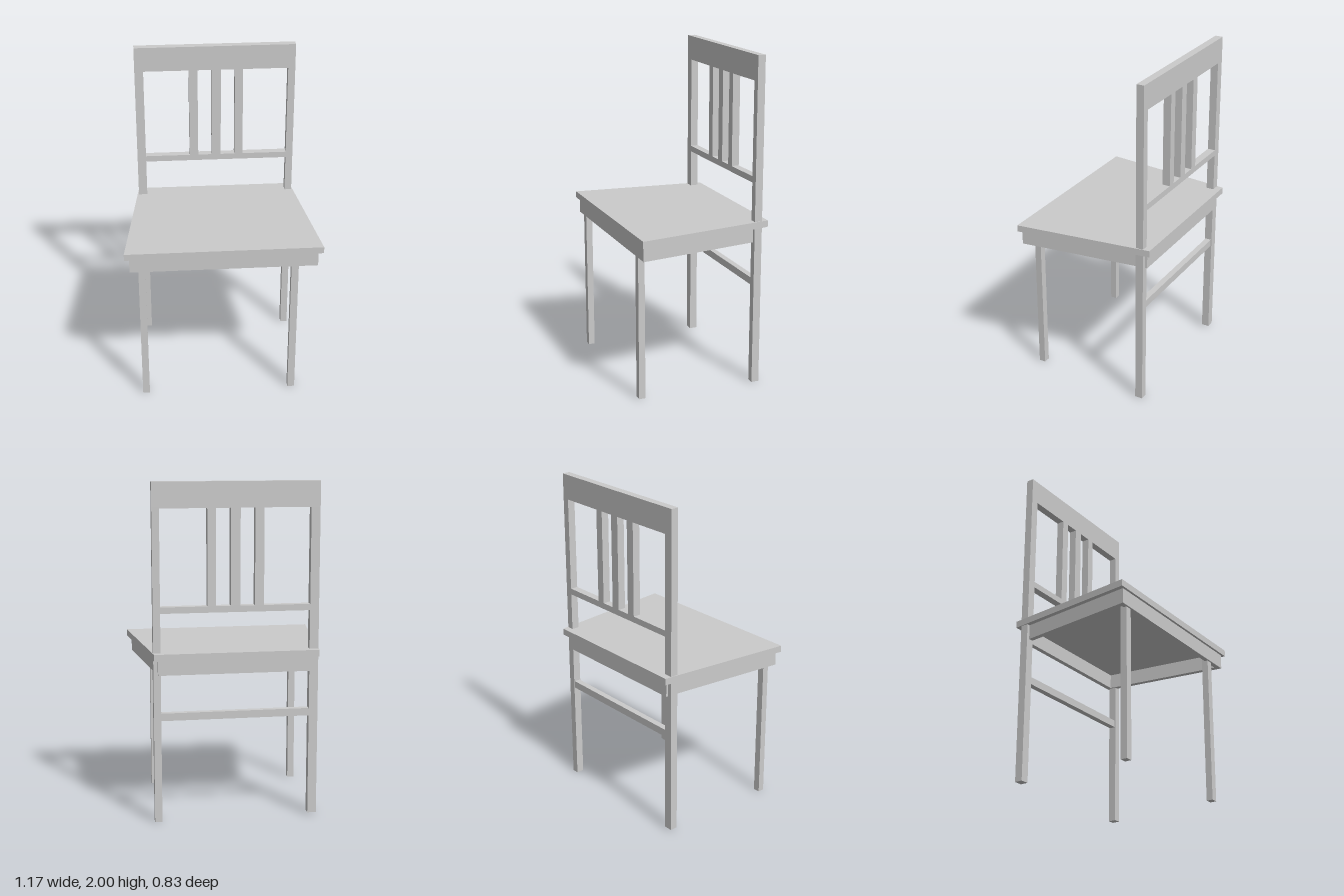
import * as THREE from 'three';

export function createModel() {
  const chair = new THREE.Group();
  chair.name = 'chair';
  const material = new THREE.MeshStandardMaterial({ color: 0xcccccc, flatShading: true });

  const add = (name, geometry) => {
    const mesh = new THREE.Mesh(geometry, material);
    mesh.name = name;
    chair.add(mesh);
    return mesh;
  };

  // Box given by its limits on each axis
  const bar = (name, [x0, x1], [y0, y1], [z0, z1]) =>
    add(name, new THREE.BoxGeometry(x1 - x0, y1 - y0, z1 - z0))
      .position.set((x0 + x1) / 2, (y0 + y1) / 2, (z0 + z1) / 2);

  // Plan outline that narrows toward the back
  const trapezoid = (frontHalf, backHalf, front, back) => [
    new THREE.Vector2(-frontHalf, -front), new THREE.Vector2(frontHalf, -front),
    new THREE.Vector2(backHalf, -back), new THREE.Vector2(-backHalf, -back),
  ];

  const slab = (name, outline, hole, y0, y1) => {
    const shape = new THREE.Shape(outline);
    if (hole) shape.holes.push(new THREE.Path(hole));
    const geometry = new THREE.ExtrudeGeometry(shape, { depth: y1 - y0, bevelEnabled: false });
    add(name, geometry.rotateX(-Math.PI / 2)).position.y = y0;
  };

  // Seat board and the hollow apron under it
  slab('seat', trapezoid(0.585, 0.485, 0.414, -0.417), null, 0.98, 1.02);
  slab('apron', trapezoid(0.556, 0.46, 0.4, -0.39),
    trapezoid(0.522, 0.434, 0.37, -0.36), 0.89, 0.98);

  // Front legs, up to the underside of the seat
  const frontZ = [0.35, 0.39];
  bar('frontLegRight', [-0.505, -0.463], [0, 0.98], frontZ);
  bar('frontLegLeft', [0.4, 0.443], [0, 0.98], frontZ);

  // Back legs continue upward as the posts of the backrest
  const backZ = [-0.377, -0.33];
  bar('backPostRight', [-0.487, -0.434], [0.01, 1.86], backZ);
  bar('backPostLeft', [0.444, 0.487], [0, 1.86], backZ);
  bar('backStretcher', [-0.44, 0.45], [0.615, 0.66], [-0.372, -0.335]);

  // Backrest rails and slats
  bar('topRail', [-0.487, 0.487], [1.85, 2], backZ);
  bar('lowerRail', [-0.44, 0.45], [1.25, 1.287], backZ);
  for (const x of [[-0.16, -0.107], [-0.022, 0.034], [0.12, 0.17]]) {
    bar('backSlat', x, [1.28, 1.86], backZ);
  }

  return chair;
}
